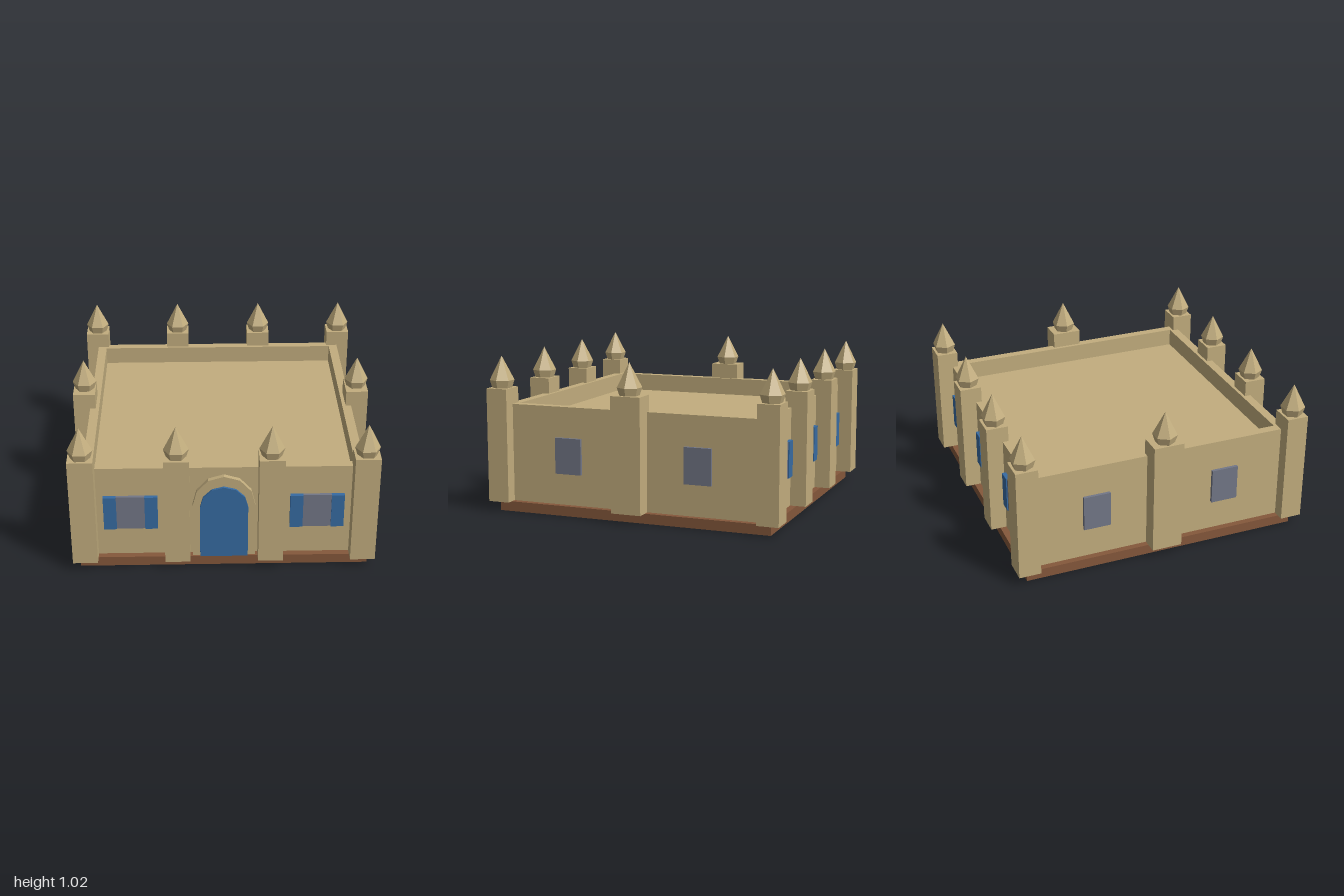
import * as THREE from 'three';

const mat = (name, color) => {
  const m = new THREE.MeshStandardMaterial({ color });
  m.name = name;
  return m;
};

export function createModel() {
  const model = new THREE.Group();
  model.name = 'walledFort';
  const stone = mat('sandstone', 0xc2ad7e);
  const brown = mat('brownPlinth', 0x85583b);
  const blue = mat('bluePaint', 0x376ba2);
  const glass = mat('greyGlass', 0x737787);

  const add = (name, geometry, material, parent = model) => {
    const mesh = new THREE.Mesh(geometry, material);
    mesh.name = name;
    parent.add(mesh);
    return mesh;
  };
  // Box given by its lower and upper limits
  const box = (name, material, [x0, y0, z0], [x1, y1, z1], parent) => {
    const g = new THREE.BoxGeometry(x1 - x0, y1 - y0, z1 - z0);
    g.translate((x0 + x1) / 2, (y0 + y1) / 2, (z0 + z1) / 2);
    return add(name, g, material, parent);
  };

  const base = 0.065, top = 0.705, wall = 0.885, inner = 0.825;
  box('plinth', brown, [-0.925, 0, -0.928], [0.925, base, 0.928]);

  // Walls with a parapet around the sunken roof
  const square = (s) => [[-s, -s], [s, -s], [s, s], [-s, s]].map((p) => new THREE.Vector2(...p));
  const ring = new THREE.Shape(square(wall));
  ring.holes.push(new THREE.Path(square(inner)));
  const walls = new THREE.ExtrudeGeometry(ring, { depth: top - base, bevelEnabled: false });
  walls.rotateX(-Math.PI / 2).translate(0, base, 0);
  add('walls', walls, stone);
  box('roof', stone, [-inner, 0.5, -inner], [inner, 0.585, inner]);

  // Pillars topped by six-sided spires
  const capGeometry = new THREE.CylinderGeometry(0.08, 0.064, 0.05, 6, 1, false, Math.PI / 6)
    .toNonIndexed();
  const spireGeometry = new THREE.ConeGeometry(0.08, 0.158, 6, 1, false, Math.PI / 6).toNonIndexed();
  for (const g of [capGeometry, spireGeometry]) {
    g.computeVertexNormals();
  }
  const pillar = (name, x, z, w, d) => {
    const group = new THREE.Group();
    group.name = name;
    group.position.set(x, 0, z);
    model.add(group);
    box('pillarShaft', stone, [-w / 2, base, -d / 2], [w / 2, 0.81, d / 2], group);
    add('spireFoot', capGeometry, stone, group).position.y = 0.835;
    add('spire', spireGeometry, stone, group).position.y = 0.939;
  };
  for (const s of [-1, 1]) {
    for (const x of [-0.888, -0.297, 0.297, 0.888]) {
      pillar(s > 0 ? 'frontPillar' : 'backPillar', x, s * 0.918, 0.16, 0.144);
    }
    pillar(s > 0 ? 'leftPillar' : 'rightPillar', s * 0.922, 0, 0.148, 0.2);
  }

  // Windows, drawn facing +z and turned to their wall
  const windowUnit = (name, offset, angle, shutters) => {
    const group = new THREE.Group();
    group.name = name;
    group.rotation.y = angle;
    model.add(group);
    const y0 = 0.27, y1 = 0.505;
    box('pane', glass, [offset - 0.09, y0, 0.87], [offset + 0.09, y1, 0.905], group);
    if (!shutters) return;
    for (const s of [-1, 1]) {
      const c = offset + s * 0.131;
      box('shutter', blue, [c - 0.041, y0, 0.87], [c + 0.041, y1, 0.912], group);
    }
  };
  for (const x of [-0.592, 0.592]) windowUnit('frontWindow', x, 0, true);
  for (const x of [-0.592, 0, 0.592]) windowUnit('backWindow', x, Math.PI, true);
  for (const s of [-1, 1]) {
    for (const z of [-0.443, 0.443]) {
      windowUnit(s > 0 ? 'leftWindow' : 'rightWindow', z, s * Math.PI / 2, false);
    }
  }

  // Arched doorway: a stone surround and a blue door
  const arch = (name, material, w, rise, front) => {
    const points = [new THREE.Vector2(-w, base), new THREE.Vector2(w, base)];
    for (let i = 0; i <= 6; i++) {
      const a = (i / 6) * Math.PI;
      points.push(new THREE.Vector2(w * Math.cos(a), 0.435 + rise * Math.sin(a)));
    }
    const g = new THREE.ExtrudeGeometry(new THREE.Shape(points), {
      depth: front - 0.87, bevelEnabled: false,
    });
    add(name, g.translate(0, 0, 0.87), material);
  };
  arch('doorSurround', stone, 0.2, 0.22, 0.916);
  arch('door', blue, 0.153, 0.15, 0.932);

  return model;
}
